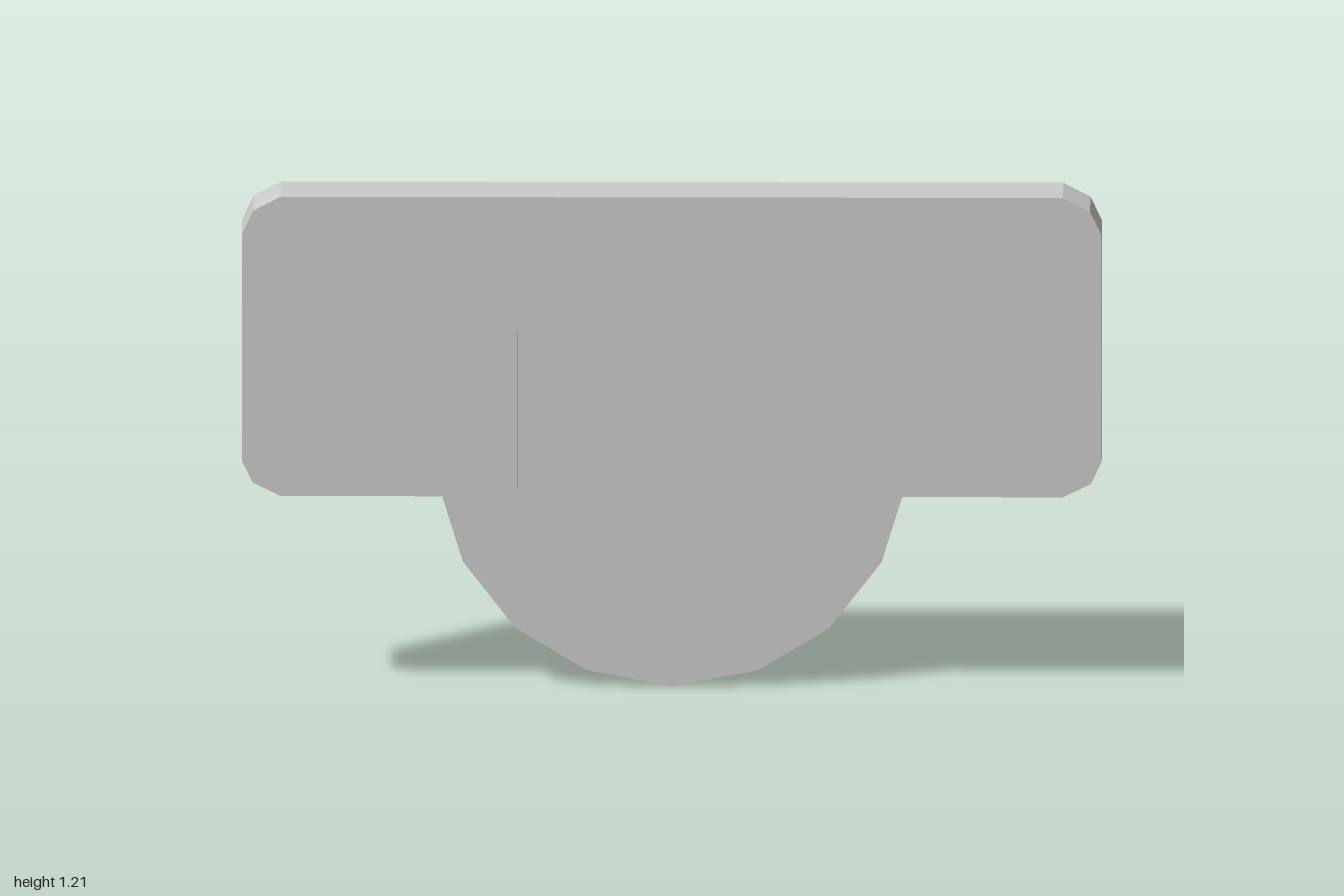
import * as THREE from 'three';

const BACK = -0.07;

// Mirrors a right-hand half outline (bottom to top or top to bottom) across x = 0.
function mirrored(half) {
  const left = half.filter(([x]) => x > 0).reverse().map(([x, y]) => [-x, y]);
  return new THREE.Shape([...half, ...left].map(([x, y]) => new THREE.Vector2(x, y)));
}

function slab(name, half, depth, material) {
  const geometry = new THREE.ExtrudeGeometry(mirrored(half), { depth, bevelEnabled: false });
  geometry.translate(0, 0, BACK);
  const mesh = new THREE.Mesh(geometry, material);
  mesh.name = name;
  return mesh;
}

export function createModel() {
  const group = new THREE.Group();
  group.name = 'notchedPlate';
  const material = new THREE.MeshStandardMaterial({ color: 0xcccccc, flatShading: true });

  // Arched notch, from its crown down to the bottom edge of the plate
  const arch = [[0, 1.05], [0.255, 1.023], [0.33, 0.972], [0.36, 0.885], [0.36, 0.49]];

  // Rounded bottom of the thin tongue
  const bowl = [[0.545, 0.49], [0.487, 0.3], [0.364, 0.14], [0.2, 0.04], [0, 0]];

  // Thick plate with chamfered corners, cut through by the notch
  const rim = [
    [0.91, 0.49], [0.975, 0.522], [1, 0.575],
    [1, 1.12], [0.973, 1.177], [0.91, 1.21],
  ];
  group.add(slab('plate', [...arch, ...rim], 0.14, material));

  // Thin tongue closing the notch at the back and hanging below the plate
  group.add(slab('backTongue', [...arch, ...bowl], 0.015, material));

  return group;
}
